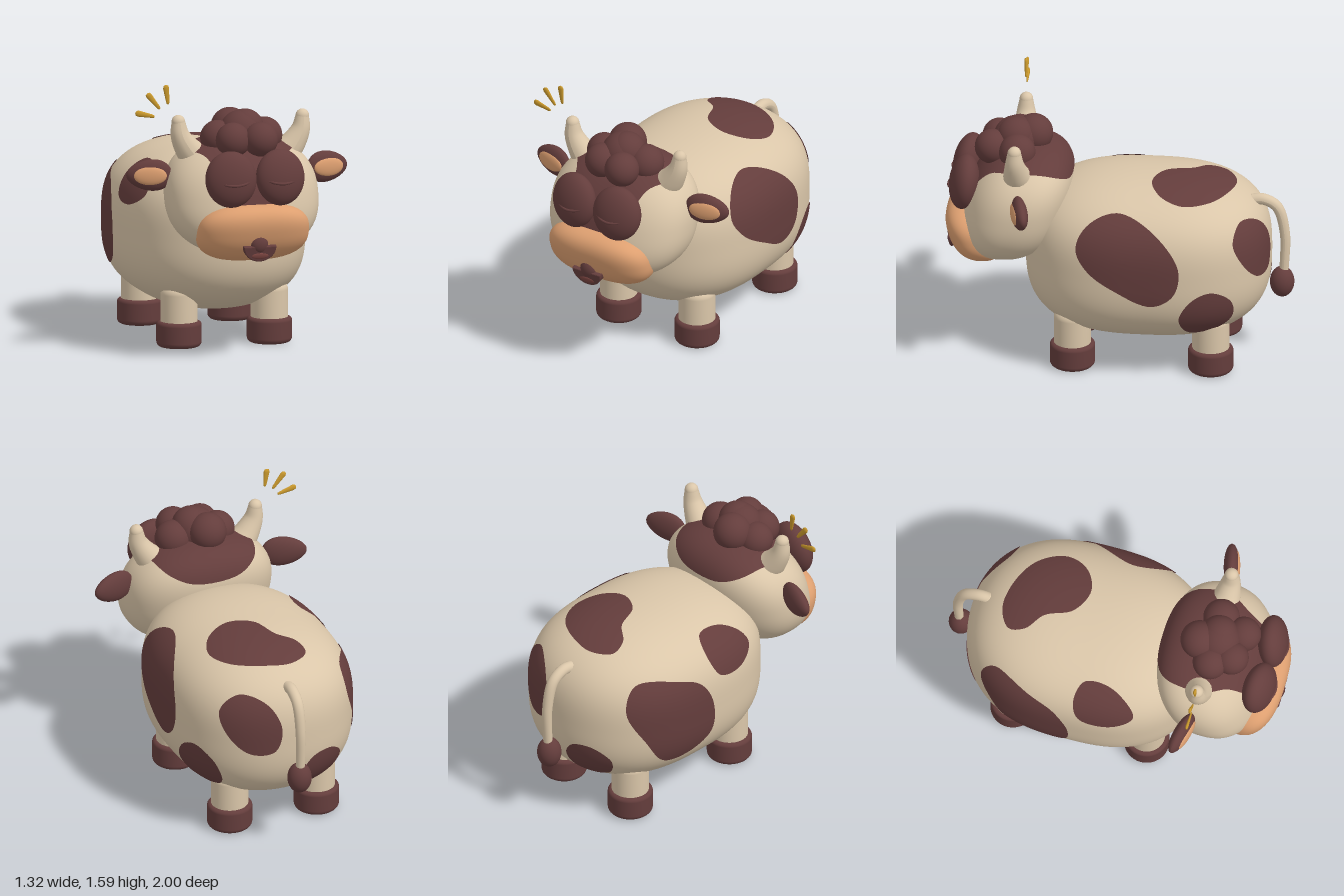
import * as THREE from 'three';
import { mergeVertices } from 'three/addons/utils/BufferGeometryUtils.js';

const V = (x, y, z) => new THREE.Vector3(x, y, z);
const material = (name, color, side = THREE.FrontSide) => {
  const m = new THREE.MeshStandardMaterial({ color, side });
  m.name = name;
  return m;
};

// Rounded solid with its own half size, exponent per axis, and a lean of z along y
class Blob {
  constructor(center, half, exps, lean = 0) {
    Object.assign(this, { center, half, exps, lean });
  }
  // Push a point radially onto the surface, optionally lifted a little above it
  project(p, lift = 0) {
    const [a, b, c] = this.half, [ex, ey, ez] = this.exps;
    const d = p.clone().sub(this.center);
    d.z -= this.lean * d.y;
    const q = [Math.abs(d.x / a), Math.abs(d.y / b), Math.abs(d.z / c)];
    let lo = 0, hi = 1 / Math.max(...q, 1e-6);
    for (let i = 0; i < 36; i++) {
      const s = (lo + hi) / 2;
      if ((q[0] * s) ** ex + (q[1] * s) ** ey + (q[2] * s) ** ez < 1) lo = s; else hi = s;
    }
    d.multiplyScalar(lo);
    d.setLength(d.length() + lift);
    d.z += this.lean * d.y;
    return d.add(this.center);
  }
  geometry(w = 96, h = 64) {
    let g = new THREE.SphereGeometry(1, w, h);
    const pos = g.attributes.position;
    for (let i = 0; i < pos.count; i++) {
      const p = V(0, 0, 0).fromBufferAttribute(pos, i);
      p.set(p.x * this.half[0], p.y * this.half[1], p.z * this.half[2]);
      p.z += this.lean * p.y;
      p.copy(this.project(p.add(this.center)));
      pos.setXYZ(i, p.x, p.y, p.z);
    }
    g.deleteAttribute('uv');
    g.deleteAttribute('normal');
    g = mergeVertices(g, 1e-5);
    g.computeVertexNormals();
    return g;
  }
  // Thin coloured patch that hugs the surface inside a closed outline
  patch(points, lift = 0.005, rings = 12, seg = 72) {
    const pts = points.map(p => this.project(V(...p)));
    const curve = new THREE.CatmullRomCurve3(pts, true);
    const mid = V(0, 0, 0);
    pts.forEach(p => mid.addScaledVector(p, 1 / pts.length));
    const pos = [], idx = [];
    for (let r = 0; r <= rings; r++) for (let s = 0; s < seg; s++) {
      const p = mid.clone().lerp(curve.getPoint(s / seg), Math.max(r / rings, 0.001));
      pos.push(...this.project(p, lift).toArray());
      if (r === rings) continue;
      const a = r * seg + s, b = r * seg + (s + 1) % seg;
      idx.push(a, a + seg, b, b, a + seg, b + seg);
    }
    const g = new THREE.BufferGeometry();
    g.setAttribute('position', new THREE.Float32BufferAttribute(pos, 3));
    g.setIndex(idx);
    g.computeVertexNormals();
    return g;
  }
}

// Tube whose radius runs from r0 to r1
function taperTube(points, r0, r1, seg = 24, sides = 20) {
  const curve = new THREE.CatmullRomCurve3(points);
  const g = new THREE.TubeGeometry(curve, seg, 1, sides);
  const pos = g.attributes.position;
  for (let i = 0; i < pos.count; i++) {
    const t = Math.floor(i / (sides + 1)) / seg, c = curve.getPointAt(t);
    const p = V(0, 0, 0).fromBufferAttribute(pos, i).sub(c);
    p.multiplyScalar(r0 + (r1 - r0) * t).add(c);
    pos.setXYZ(i, p.x, p.y, p.z);
  }
  g.computeVertexNormals();
  return g;
}

// Upright round block with softened rims
function softCylinder(r, y0, y1, bottom, top) {
  const pts = [new THREE.Vector2(0, y0)];
  for (let i = 0; i <= 6; i++) {
    const a = i / 6 * Math.PI / 2;
    pts.push(new THREE.Vector2(r - bottom + bottom * Math.sin(a), y0 + bottom - bottom * Math.cos(a)));
  }
  for (let i = 0; i <= 6; i++) {
    const a = i / 6 * Math.PI / 2;
    pts.push(new THREE.Vector2(r - top + top * Math.cos(a), y1 - top + top * Math.sin(a)));
  }
  pts.push(new THREE.Vector2(0, y1));
  return new THREE.LatheGeometry(pts, 40);
}

export function createModel() {
  const root = new THREE.Group();
  root.name = 'cow';
  const cream = material('cream', 0xdac6a9);
  const brown = material('brown', 0x643d3c, THREE.DoubleSide);
  const orange = material('orange', 0xdd9f70);
  const gold = material('gold', 0xc9982c);
  const tongueRed = material('tongue', 0x7a4440);
  const add = (name, geo, mat, at, parent = root) => {
    const m = new THREE.Mesh(geo, mat);
    m.name = name;
    if (at) m.position.set(...at);
    parent.add(m);
    return m;
  };
  const ellipsoid = (name, mat, at, size, parent) => {
    const m = add(name, new THREE.SphereGeometry(1, 40, 28), mat, at, parent);
    m.scale.set(...size);
    return m;
  };

  // Body and its spots
  const body = new Blob(V(0, 0.645, -0.165), [0.545, 0.475, 0.705], [2.1, 3, 2.7]);
  add('body', body.geometry(), cream);
  const onSide = ([z, y]) => {
    const rest = 1 - Math.abs((y - 0.645) / 0.475) ** 3 - Math.abs((z + 0.165) / 0.705) ** 2.7;
    return [0.545 * Math.max(rest, 0.002) ** (1 / 2.1), y, z];
  };
  const spots = {
    leftSideSpot: [[0.21, 0.82], [0.14, 0.96], [-0.02, 1.02], [-0.21, 0.955], [-0.38, 0.74],
      [-0.35, 0.58], [-0.225, 0.51], [-0.02, 0.595], [0.14, 0.7]].map(onSide),
    leftThighSpot: [[-0.38, 0.42], [-0.45, 0.54], [-0.56, 0.585], [-0.67, 0.51], [-0.67, 0.39],
      [-0.56, 0.305], [-0.44, 0.295]].map(onSide),
    upperRumpSpot: [[0.4, 0.85, -0.69], [0.3, 0.96, -0.74], [0.15, 0.9, -0.82], [0.08, 0.75, -0.87],
      [0.12, 0.61, -0.86], [0.25, 0.6, -0.8], [0.36, 0.7, -0.74]],
    lowerRumpSpot: [[-0.06, 0.45, -0.85], [-0.12, 0.53, -0.85], [-0.24, 0.54, -0.81],
      [-0.32, 0.46, -0.74], [-0.28, 0.34, -0.72], [-0.17, 0.3, -0.74], [-0.08, 0.34, -0.8]],
    backSpot: [[-0.195, 1.09, -0.63], [-0.07, 1.07, -0.69], [0.085, 1.07, -0.665], [0.27, 1.06, -0.55],
      [0.34, 1.06, -0.39], [0.285, 1.09, -0.26], [0.14, 1.11, -0.195], [0, 1.12, -0.26],
      [-0.07, 1.12, -0.42], [-0.17, 1.1, -0.51]],
    rightSideSpot: [[-0.41, 0.96, -0.65], [-0.46, 0.89, -0.36], [-0.5, 0.83, -0.23], [-0.53, 0.68, -0.15],
      [-0.53, 0.5, -0.16], [-0.52, 0.41, -0.29], [-0.48, 0.41, -0.47], [-0.46, 0.58, -0.6], [-0.38, 0.79, -0.68]],
    rightShoulderSpot: [[-0.37, 1.04, -0.09], [-0.36, 1.02, 0.07], [-0.41, 0.86, 0.18],
      [-0.49, 0.8, 0.08], [-0.52, 0.83, -0.08], [-0.48, 0.96, -0.13]],
  };
  for (const [name, pts] of Object.entries(spots)) add(name, body.patch(pts), brown);

  // Legs and hooves
  for (const x of [-0.27, 0.27]) for (const z of [0.25, -0.545]) {
    const leg = new THREE.Group();
    leg.name = (z > 0 ? 'front' : 'rear') + (x > 0 ? 'Left' : 'Right') + 'Leg';
    leg.position.set(x, 0, z);
    add('shin', softCylinder(0.107, 0.1, 0.355, 0.01, 0.05), cream, null, leg);
    add('hoof', softCylinder(0.13, 0, 0.148, 0.03, 0.022), brown, null, leg);
    root.add(leg);
  }

  // Head with brown cap running down between the eyes
  const head = new Blob(V(0, 0.93, 0.59), [0.445, 0.335, 0.3], [2.4, 2.4, 2.4], -0.25);
  add('head', head.geometry(72, 48), cream);
  const half = [[0.12, 1.1, 0.3], [0.24, 1.15, 0.34], [0.32, 1.21, 0.46], [0.33, 1.21, 0.58],
    [0.27, 1.2, 0.73], [0.21, 1.08, 0.82], [0.12, 0.9, 0.88]];
  add('headCap', head.patch([...half, ...half.slice().reverse().map(([x, y, z]) => [-x, y, z])], 0.006, 20), brown);

  // Muzzle, nose and mouth
  const muzzle = new Blob(V(0, 0.75, 0.82), [0.33, 0.17, 0.165], [2.8, 2.5, 2.3], 0.3);
  add('muzzle', muzzle.geometry(64, 40), orange);
  ellipsoid('nose', brown, [0, 0.7, 0.96], [0.052, 0.054, 0.035]);
  const lip = new THREE.Shape();
  lip.moveTo(-0.09, 0.03);
  lip.absellipse(0, 0.03, 0.09, 0.08, Math.PI, Math.PI * 2);
  lip.closePath();
  const mouth = add('mouth', new THREE.ExtrudeGeometry(lip, {
    depth: 0.05, bevelSize: 0.006, bevelThickness: 0.006, bevelSegments: 3, curveSegments: 24,
  }), brown, [0, 0.665, 0.925]);
  mouth.rotation.x = 0.2;
  ellipsoid('tongue', tongueRed, [0, -0.021, 0.055], [0.05, 0.018, 0.006], mouth);

  // Paired features: closed eyes, ears, horns
  for (const s of [1, -1]) {
    const side = s > 0 ? 'left' : 'right';
    const eye = ellipsoid(side + 'Eyelid', brown, [s * 0.147, 1.07, 0.885], [0.148, 0.162, 0.085]);
    eye.rotation.set(-0.15, s * 0.15, 0);
    const crease = [-0.09, -0.05, 0, 0.05, 0.09].map(x =>
      V(s * 0.147 + x, 1.045 + 2 * x * x, 0.974 - 4 * x * x - s * x * 0.15));
    add(side + 'LidCrease', new THREE.TubeGeometry(new THREE.CatmullRomCurve3(crease), 24, 0.008, 10), brown);

    const ear = new THREE.Group();
    ear.name = side + 'Ear';
    ear.position.set(s * 0.53, 1.055, 0.53);
    ear.rotation.y = s * 0.25;
    const leaf = new THREE.SphereGeometry(1, 40, 28), lp = leaf.attributes.position;
    for (let i = 0; i < lp.count; i++) {
      const x = lp.getX(i), k = 1 - 0.18 * x * s;
      lp.setXYZ(i, x * 0.132, lp.getY(i) * 0.09 * k, lp.getZ(i) * 0.045);
    }
    leaf.computeVertexNormals();
    add('earShell', leaf, brown, null, ear);
    ellipsoid('innerEar', orange, [-s * 0.005, 0, 0.03], [0.095, 0.055, 0.02], ear);
    root.add(ear);

    const path = [V(s * 0.25, 1.13, 0.56), V(s * 0.32, 1.215, 0.57), V(s * 0.36, 1.29, 0.575), V(s * 0.37, 1.365, 0.575)];
    add(side + 'Horn', taperTube(path, 0.095, 0.039), cream);
    ellipsoid(side + 'HornTip', cream, [s * 0.37, 1.365, 0.575], [0.039, 0.039, 0.039]);
  }

  // Curly hair tuft
  const curls = [[0, 1.29, 0.6, 0.13], [-0.04, 1.31, 0.5, 0.11], [-0.14, 1.265, 0.59, 0.1],
    [0.14, 1.265, 0.58, 0.105], [0.075, 1.265, 0.73, 0.1], [-0.08, 1.265, 0.7, 0.1], [0.02, 1.315, 0.6, 0.11]];
  const hair = new THREE.Group();
  hair.name = 'hair';
  root.add(hair);
  for (const [x, y, z, r] of curls) ellipsoid('curl', brown, [x, y, z], [r, r, r], hair);

  // Tail and tuft
  const tailPath = [V(0, 0.96, -0.76), V(0, 0.965, -0.82), V(0, 0.92, -0.9), V(0, 0.76, -0.945), V(0, 0.5, -0.94)];
  add('tail', taperTube(tailPath, 0.034, 0.026, 40), cream);
  ellipsoid('tailRoot', cream, [0, 0.96, -0.765], [0.034, 0.034, 0.034]);
  ellipsoid('tailTuft', brown, [0, 0.45, -0.93], [0.07, 0.092, 0.07]);

  // Three sparks beside the right horn, wide at the outer end
  const sparks = [[-0.434, 1.47, -0.448, 1.585], [-0.482, 1.445, -0.56, 1.54], [-0.513, 1.403, -0.63, 1.43]];
  for (const [x0, y0, x1, y1] of sparks) {
    const len = Math.hypot(x1 - x0, y1 - y0);
    const profile = [[0, 0], [0.007, 0.004], [0.01, 0.015], [0.018, len - 0.02], [0.014, len - 0.006], [0, len]];
    const m = add('spark', new THREE.LatheGeometry(profile.map(p => new THREE.Vector2(...p)), 20), gold, [x0, y0, 0.585]);
    m.rotation.z = Math.atan2(x0 - x1, y1 - y0);
    m.scale.z = 0.5;
  }
  return root;
}
